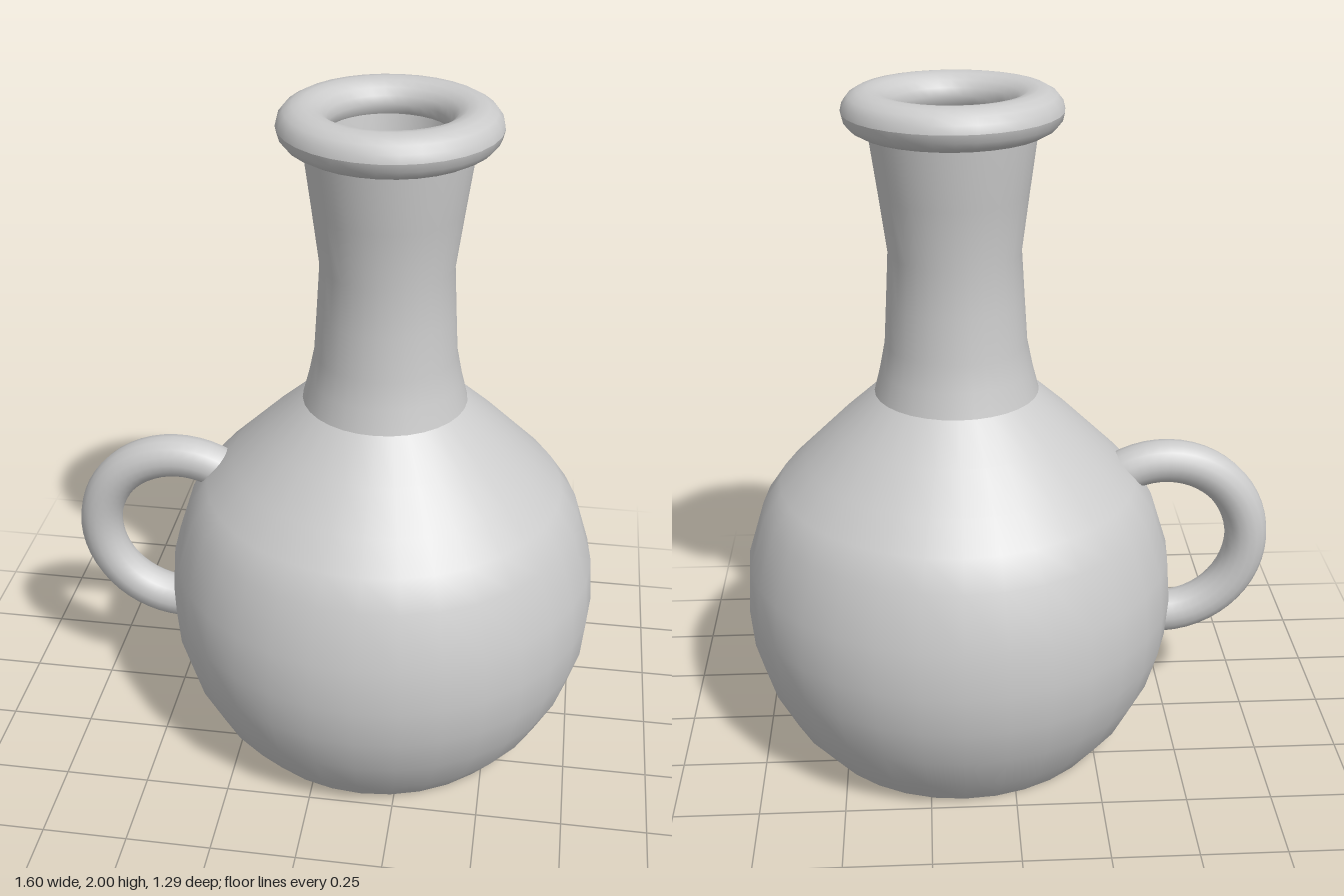
import * as THREE from 'three';

const material = new THREE.MeshStandardMaterial({ color: 0xcccccc, side: THREE.DoubleSide });
const SEGMENTS = 32;

// Spin a [radius, height] profile round the y axis.
function lathe(name, profile) {
  const points = profile.map(([r, y]) => new THREE.Vector2(r, y));
  const mesh = new THREE.Mesh(new THREE.LatheGeometry(points, SEGMENTS), material);
  mesh.name = name;
  return mesh;
}

export function createModel() {
  const model = new THREE.Group();
  model.name = 'jug';

  // Everything but the handle shares one upright axis.
  const vessel = new THREE.Group();
  vessel.name = 'vessel';
  vessel.position.x = 0.15;
  model.add(vessel);

  // Round belly
  const belly = [
    [0.46, 0], [0.54, 0.1], [0.6, 0.22], [0.635, 0.34], [0.645, 0.46],
    [0.635, 0.6], [0.585, 0.76], [0.53, 0.84], [0.45, 0.92], [0.35, 1.02], [0.24, 1.12],
  ];
  vessel.add(lathe('belly', belly));

  // Inner wall of the belly, slightly inside the outer one
  vessel.add(lathe('bellyLining', belly.map(([r, y]) => [r - 0.015, y + 0.005]).reverse()));

  // Flat base
  const base = new THREE.Mesh(new THREE.CircleGeometry(0.46, SEGMENTS), material);
  base.name = 'base';
  base.rotation.x = Math.PI / 2;
  vessel.add(base);

  // Waisted neck, outside and inside
  vessel.add(lathe('neck', [
    [0.24, 1.12], [0.222, 1.19], [0.206, 1.27], [0.198, 1.4], [0.19, 1.54],
    [0.212, 1.71], [0.235, 1.88], [0.235, 1.92],
  ]));
  vessel.add(lathe('neckLining', [
    [0.18, 1.94], [0.165, 1.84], [0.15, 1.71], [0.13, 1.54], [0.14, 1.35], [0.15, 1.25], [0.225, 1.12],
  ]));

  // Rolled lip, a little wider than tall in section
  const lip = lathe('lip', Array.from({ length: 17 }, (_, i) => {
    const a = (i / 16) * Math.PI * 2;
    return [0.236 + 0.071 * Math.cos(a), 1.94 + 0.06 * Math.sin(a)];
  }));
  vessel.add(lip);

  // Ring handle, its ends buried in the belly
  const arc = Math.PI * 1.5;
  const handle = new THREE.Mesh(new THREE.TorusGeometry(0.26, 0.065, 16, 40, arc), material);
  handle.name = 'handle';
  handle.position.set(-0.475, 0.605, 0.01);
  handle.rotation.z = Math.PI - arc / 2;
  model.add(handle);

  return model;
}
